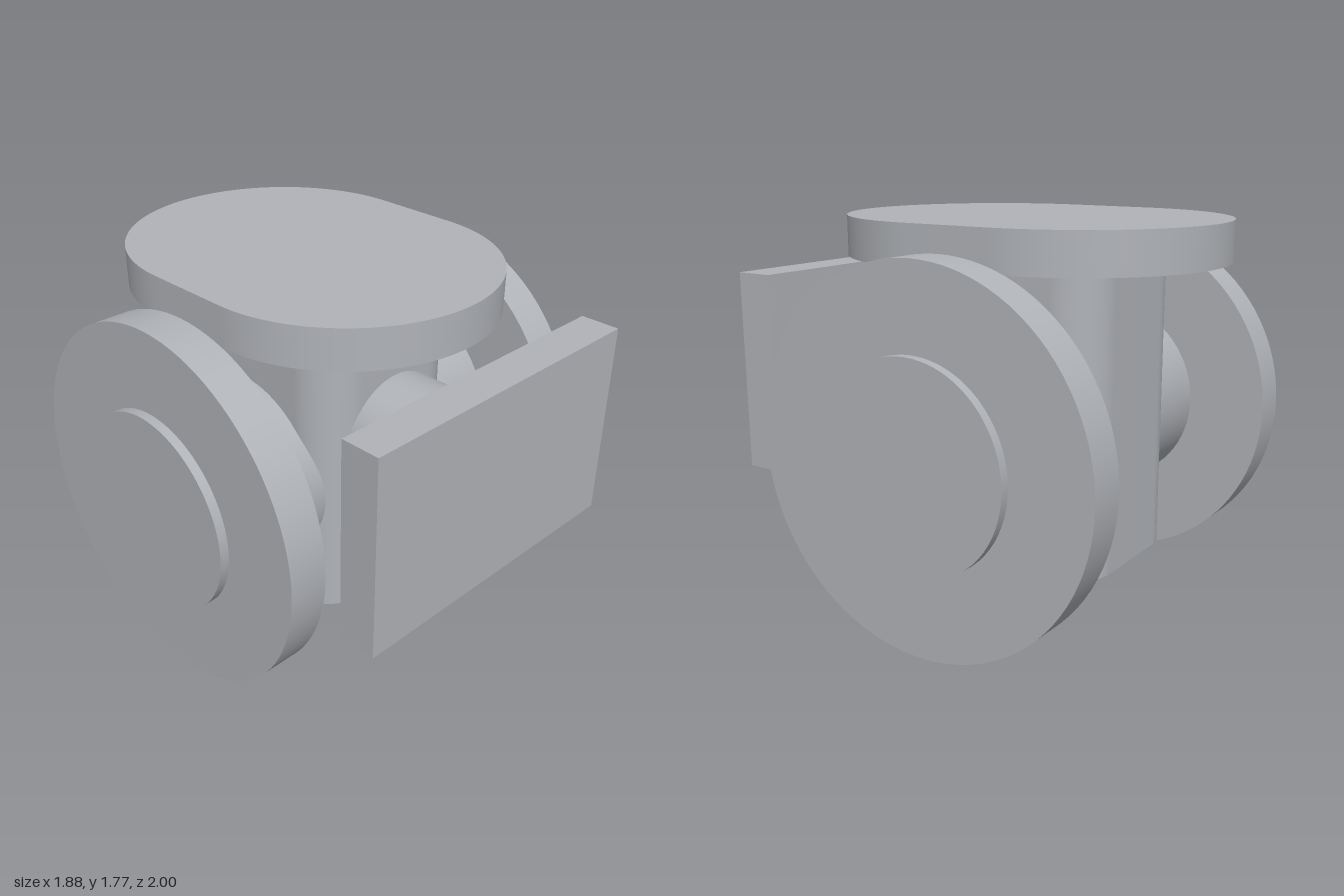
import * as THREE from 'three';

const CY = 0.83, CZ = -0.113; // axis of the side flanges, also the body centre in z

// Rectangle with rounded corners; a full radius gives a stadium
function roundedRect(halfX, halfZ, r) {
  const s = new THREE.Shape();
  const x = halfX - r, z = halfZ - r;
  s.absarc(x, z, r, 0, Math.PI / 2);
  s.absarc(-x, z, r, Math.PI / 2, Math.PI);
  s.absarc(-x, -z, r, Math.PI, Math.PI * 1.5);
  s.absarc(x, -z, r, Math.PI * 1.5, Math.PI * 2);
  s.closePath();
  return s;
}

export function createModel() {
  const model = new THREE.Group();
  model.name = 'valveBody';
  const metal = new THREE.MeshStandardMaterial({ color: 0xb0b3b8 });
  metal.name = 'greyMetal';

  function add(name, geometry, x, y, z, parent = model) {
    const mesh = new THREE.Mesh(geometry, metal);
    mesh.name = name;
    mesh.position.set(x, y, z);
    parent.add(mesh);
    return mesh;
  }

  // Upright extrusion with smooth rounded walls and crisp caps
  function addPrism(name, shape, y0, y1) {
    const geometry = new THREE.ExtrudeGeometry(shape, {
      depth: y1 - y0, bevelEnabled: false, curveSegments: 24,
    });
    geometry.rotateX(-Math.PI / 2);
    smoothWalls(geometry);
    add(name, geometry, 0, y0, CZ);
  }

  // Average the normals of wall vertices that share a vertical edge
  function smoothWalls(geometry) {
    const p = geometry.attributes.position, n = geometry.attributes.normal;
    const sums = new Map();
    const key = (i) => `${p.getX(i).toFixed(4)},${p.getZ(i).toFixed(4)}`;
    const isWall = (i) => Math.abs(n.getY(i)) < 0.5;
    for (let i = 0; i < p.count; i++) {
      if (!isWall(i)) continue;
      const sum = sums.get(key(i)) ?? new THREE.Vector3();
      sums.set(key(i), sum.add(new THREE.Vector3().fromBufferAttribute(n, i)));
    }
    for (let i = 0; i < p.count; i++) {
      if (!isWall(i)) continue;
      const v = sums.get(key(i)).clone().normalize();
      n.setXYZ(i, v.x, v.y, v.z);
    }
  }

  // Central body and its stadium-shaped top flange
  addPrism('body', roundedRect(0.405, 0.52, 0.2), 0.25, 1.6);
  addPrism('topFlange', roundedRect(0.68, 0.885, 0.68), 1.59, 1.77);

  // Side ports: pipe with raised face, and round flange
  for (const [side, name] of [[1, 'leftPort'], [-1, 'rightPort']]) {
    const port = new THREE.Group();
    port.name = name;
    model.add(port);
    const pipe = new THREE.CylinderGeometry(0.455, 0.455, 0.64, 72).rotateZ(Math.PI / 2);
    add('pipe', pipe, side * 0.62, CY, CZ, port);
    const flange = new THREE.CylinderGeometry(0.83, 0.83, 0.18, 96).rotateZ(Math.PI / 2);
    add('flange', flange, side * 0.807, CY, CZ, port);
  }

  // Front port: short pipe and rectangular flange
  const frontPipe = new THREE.CylinderGeometry(0.283, 0.283, 0.53, 64).rotateX(Math.PI / 2);
  add('frontPipe', frontPipe, 0, 1.057, 0.565);
  add('frontFlange', new THREE.BoxGeometry(1.476, 0.91, 0.18), 0, 1.057, 0.91);

  return model;
}
